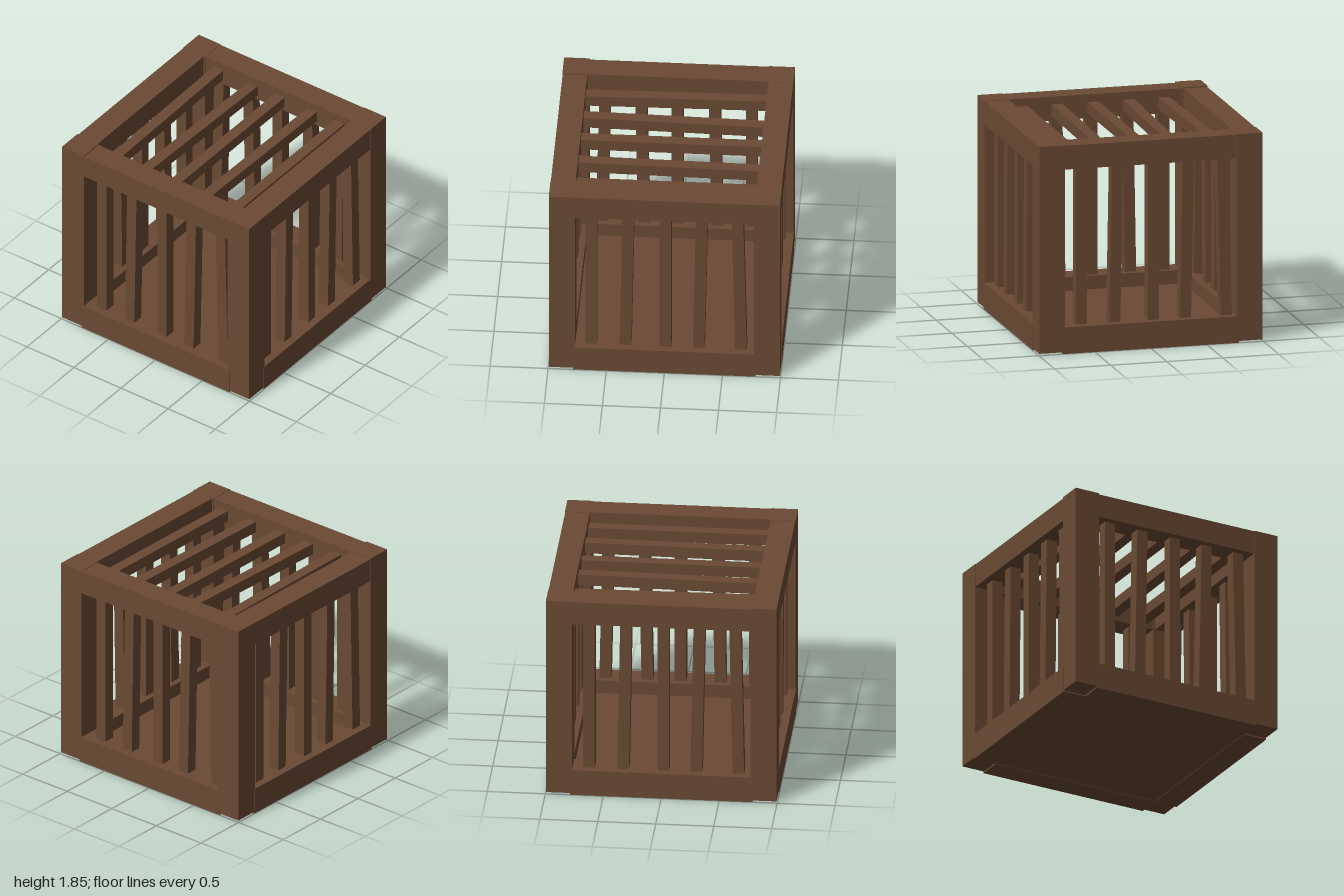
import * as THREE from 'three';

export function createModel() {
  const model = new THREE.Group();
  model.name = 'woodenCage';
  const wood = new THREE.MeshStandardMaterial({ color: 0x6b4a34 });
  wood.name = 'brown wood';

  // Box given by its minimum and maximum corners
  function beam(name, x0, x1, y0, y1, z0, z1, parent = model) {
    const geo = new THREE.BoxGeometry(x1 - x0, y1 - y0, z1 - z0);
    geo.translate((x0 + x1) / 2, (y0 + y1) / 2, (z0 + z1) / 2);
    const mesh = new THREE.Mesh(geo, wood);
    mesh.name = name;
    parent.add(mesh);
    return mesh;
  }

  // Upright bar whose centre leans from xBottom to xTop
  function leaningBar(name, xBottom, xTop, y0, y1, z0, z1, parent) {
    const mesh = beam(name, -0.05, 0.05, y0, y1, z0, z1, parent);
    const p = mesh.geometry.attributes.position;
    for (let i = 0; i < p.count; i++) {
      const t = (p.getY(i) - y0) / (y1 - y0);
      p.setX(i, p.getX(i) + xBottom + (xTop - xBottom) * t);
    }
    mesh.geometry.computeVertexNormals();
    return mesh;
  }

  // Corner posts
  for (const sx of [-1, 1]) {
    for (const sz of [-1, 1]) {
      const cx = sx * 0.88, cz = sz * 0.883;
      const top = sx < 0 && sz > 0 ? 1.848 : 1.842;
      beam('cornerPost', cx - 0.115, cx + 0.115, 0.015, top, cz - 0.112, cz + 0.112);
    }
  }

  // One side: two rails and five crooked bars, [bottom, top] bar centres
  const bars = [[-0.62, -0.62], [-0.325, -0.3], [0.02, 0.02], [0.305, 0.333], [0.67, 0.64]];
  function side(name, turn, shift) {
    const group = new THREE.Group();
    group.name = name;
    beam('bottomRail', -0.785, 0.785, 0, 0.235, 0.78, 0.998, group);
    beam('topRail', -0.785, 0.785, 1.627, 1.838, 0.78, 0.992, group);
    for (const [bottom, top] of bars) {
      leaningBar('sideBar', bottom + shift, top + shift, 0.2, 1.66, 0.83, 0.93, group);
    }
    group.rotation.y = turn;
    model.add(group);
  }
  side('frontSide', 0, 0);
  side('leftSide', Math.PI / 2, -0.015);
  side('backSide', Math.PI, 0.02);
  side('rightSide', -Math.PI / 2, -0.01);

  // Floor slab between the bottom rails
  beam('floor', -0.79, 0.79, 0.004, 0.115, -0.79, 0.79);

  // Roof bars running front to back, [front, back] centres
  const roof = new THREE.Group();
  roof.name = 'roofBars';
  for (const [front, back] of [[-0.605, -0.632], [-0.295, -0.258], [0.022, 0.022], [0.345, 0.37], [0.66, 0.66]]) {
    leaningBar('roofBar', front, back, -0.82, 0.82, 1.67, 1.77, roof);
  }
  roof.rotation.x = -Math.PI / 2;
  model.add(roof);

  return model;
}
